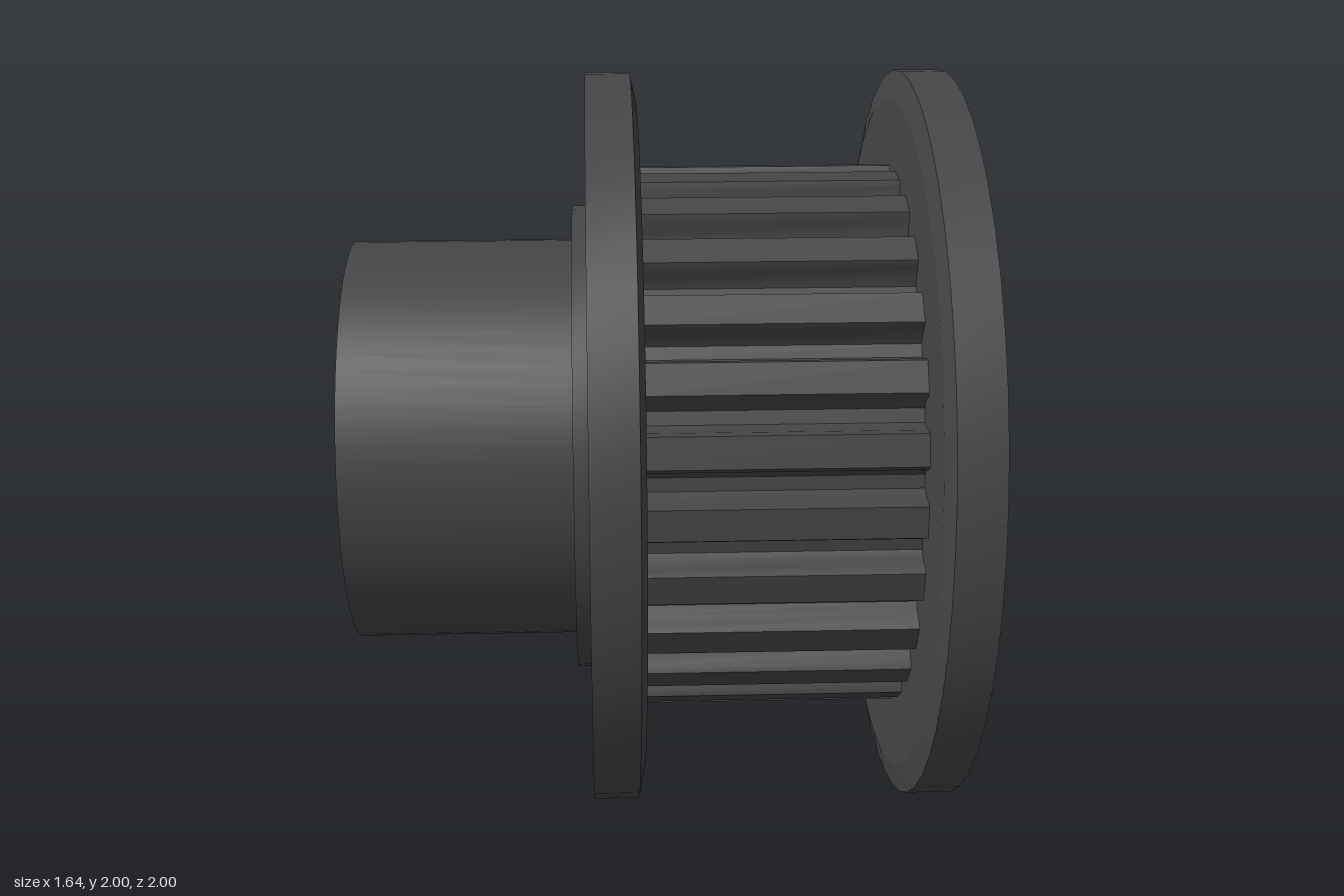
import * as THREE from 'three';
import { toCreasedNormals } from 'three/addons/utils/BufferGeometryUtils.js';
import { ParametricGeometry } from 'three/addons/geometries/ParametricGeometry.js';

const BORE = 0.23, HUB = 0.548, BOSS = 0.64, RIM = 1;
const END = 0.82, HUB_START = -0.225;
const rad = THREE.MathUtils.degToRad;

export function createModel() {
  const model = new THREE.Group();
  const pulley = new THREE.Group();
  pulley.name = 'pulley';
  pulley.position.y = 1;
  model.add(pulley);

  const metal = new THREE.MeshStandardMaterial({ color: 0x464646, side: THREE.DoubleSide });
  metal.name = 'dark metal';

  const add = (name, geometry) => {
    const mesh = new THREE.Mesh(geometry, metal);
    mesh.name = name;
    pulley.add(mesh);
  };

  // Profile of [radius, x] points turned around the x axis
  const turned = (name, points, segments = 48) => {
    const g = new THREE.LatheGeometry(points.map(([r, x]) => new THREE.Vector2(r, x)), segments);
    g.rotateZ(-Math.PI / 2);
    add(name, toCreasedNormals(g, 0.2));
  };

  // Flanges with a bevel on the belt side
  turned('hubSideFlange', [[0.5, -0.185], [RIM, -0.185], [RIM, -0.066], [0.925, -0.05], [0.5, -0.05]]);
  turned('outerFlange', [[0.5, 0.64], [0.925, 0.64], [RIM, 0.656], [RIM, 0.775], [0.5, 0.775]]);

  // Raised bosses, hub end face and bore
  turned('hubSideBoss', [[HUB, HUB_START], [BOSS, HUB_START], [BOSS, -0.185]]);
  turned('outerBoss', [[BOSS, 0.775], [BOSS, END], [BORE, END]]);
  turned('hubEndFace', [[BORE, -END], [HUB, -END]]);
  turned('bore', [[BORE, END], [BORE, -END]], 48);

  // Toothed belt drum: 26 teeth with rounded grooves
  const teeth = 26, outer = 0.745, depth = 0.07;
  const groove = [[-3.8, 0], [-3.1, 0.25], [-2.7, 0.7], [-1.5, 1], [1.5, 1], [2.7, 0.7], [3.1, 0.25], [3.8, 0]];
  const outline = [];
  for (let i = 0; i < teeth; i++) {
    for (const [offset, d] of groove) {
      const a = (i / teeth) * Math.PI * 2 + rad(offset);
      const r = outer - depth * d;
      outline.push(new THREE.Vector2(r * Math.cos(a), r * Math.sin(a)));
    }
  }
  const drumShape = new THREE.Shape(outline);
  drumShape.holes.push(new THREE.Path().absarc(0, 0, 0.55, 0, Math.PI * 2, true));
  const drum = new THREE.ExtrudeGeometry(drumShape, { depth: 0.69, bevelEnabled: false, curveSegments: 24 });
  drum.rotateY(Math.PI / 2);
  drum.translate(-0.05, 0, 0);
  add('toothedDrum', toCreasedNormals(drum, 0.5));

  // Hub skin, mapped by x and by angle from the top towards the back
  const wrap = (x, a, target) => target.set(x, HUB * Math.cos(a), -HUB * Math.sin(a));
  const mix = THREE.MathUtils.lerp;
  const sector = (from, to, steps) => add('hubWall', new ParametricGeometry(
    (u, v, t) => wrap(mix(-END, HUB_START, u), rad(mix(from, to, v)), t), 1, steps));

  // Hub patch with a round set-screw hole, blended out to its square border
  const holeX = -0.55, holeR = 0.12, half = 20;
  const holePatch = (centre) => add('setScrewHole', new ParametricGeometry((u, v, t) => {
    const phi = -u * Math.PI * 2, c = Math.cos(phi), s = Math.sin(phi);
    const k = 1 / Math.max(Math.abs(c), Math.abs(s));
    const borderX = c * k * (c > 0 ? HUB_START - holeX : END + holeX);
    const x = holeX + mix(holeR * c, borderX, v);
    const a = rad(centre) + mix(Math.asin(holeR * s / HUB), s * k * rad(half), v);
    return wrap(x, a, t);
  }, 48, 6));

  const holes = [37.5, 157.5];
  holes.forEach(holePatch);
  sector(holes[0] + half, holes[1] - half, 16);
  sector(holes[1] + half, holes[0] - half + 360, 40);

  return model;
}
